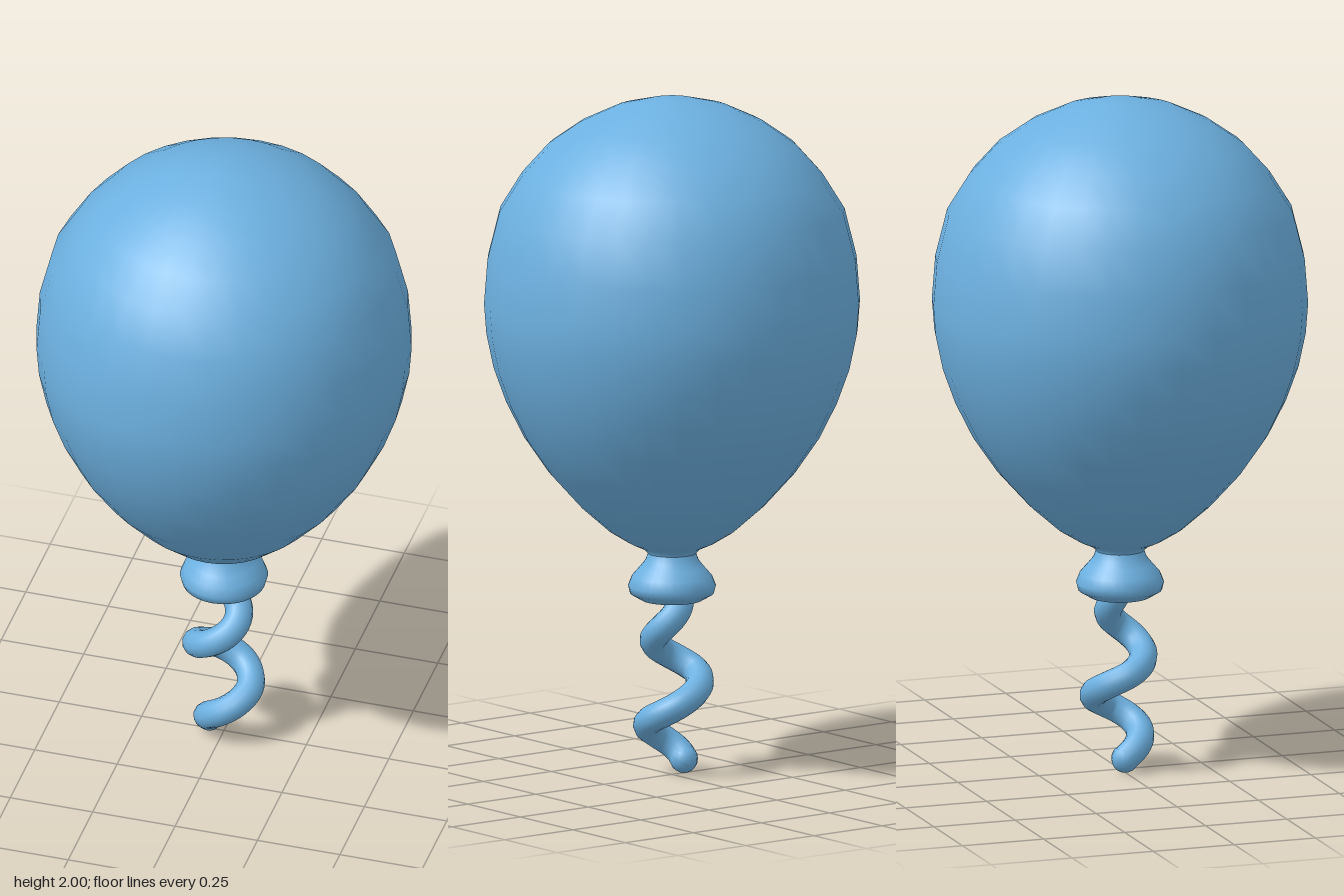
import * as THREE from 'three';

export function createModel() {
  const group = new THREE.Group();
  const blue = new THREE.MeshStandardMaterial({ color: 0x6cb0e0 });
  blue.name = 'balloonBlue';

  const add = (name, geometry, position = [0, 0, 0]) => {
    const mesh = new THREE.Mesh(geometry, blue);
    mesh.name = name;
    mesh.position.set(...position);
    group.add(mesh);
  };
  // Profiles run from bottom to top as [radius, height]
  const lathe = (profile) =>
    new THREE.LatheGeometry(profile.map(([r, y]) => new THREE.Vector2(r, y)), 32);

  // Inflated body, rounding in sharply to the neck
  add('body', lathe([
    [0.07, 0.63], [0.07, 0.655], [0.085, 0.67], [0.125, 0.688], [0.185, 0.725],
    [0.27, 0.8], [0.36, 0.9], [0.432, 1.005], [0.484, 1.11], [0.52, 1.21],
    [0.541, 1.31], [0.548, 1.4], [0.538, 1.53], [0.503, 1.67], [0.438, 1.775],
    [0.362, 1.86], [0.27, 1.925], [0.17, 1.972], [0.07, 1.997], [0, 2],
  ]));

  // Flared lip under the neck
  add('knot', lathe([
    [0, 0.515], [0.05, 0.513], [0.088, 0.517], [0.122, 0.537], [0.128, 0.56],
    [0.117, 0.588], [0.096, 0.612], [0.078, 0.634], [0.07, 0.655],
  ]));

  // Curled string: one radius per quarter turn of a descending helix
  const radii = [0.014, 0.03, 0.046, 0.062, 0.084, 0.077, 0.079, 0.062, 0.044];
  const path = [];
  for (let turn = 0.5; turn <= 8; turn += 0.25) {
    const i = Math.min(Math.floor(turn), radii.length - 2);
    const r = THREE.MathUtils.lerp(radii[i], radii[i + 1], turn - i);
    const angle = (turn - 2) * Math.PI / 2;
    path.push(new THREE.Vector3(r * Math.cos(angle), 0.43 - 0.065 * (turn - 2), r * Math.sin(angle)));
  }
  const thickness = 0.041;
  add('string', new THREE.TubeGeometry(new THREE.CatmullRomCurve3(path), 72, thickness, 12));
  add('stringEnd', new THREE.SphereGeometry(thickness, 12, 10), path[path.length - 1].toArray());

  return group;
}
